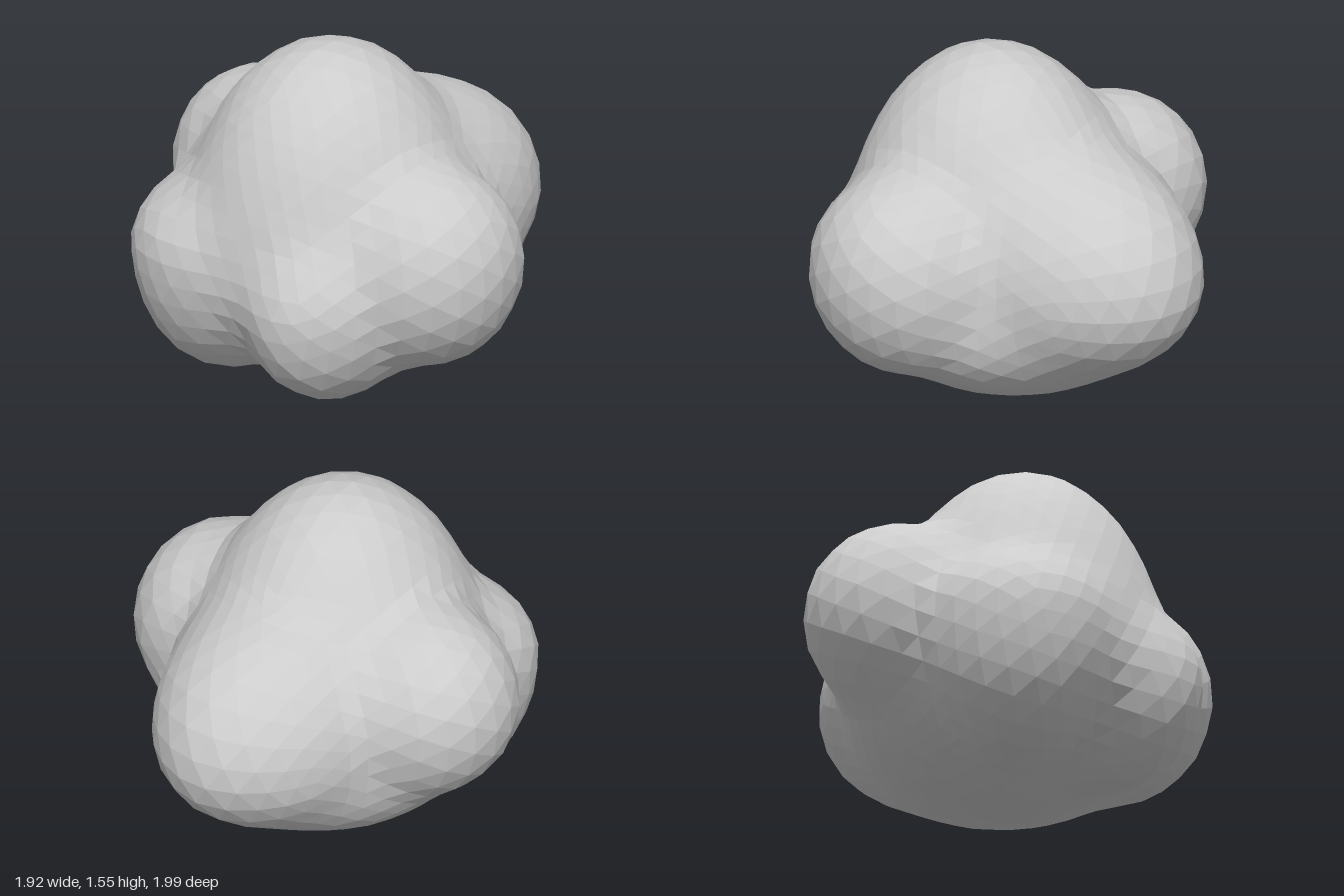
import * as THREE from 'three';

// Lobes of the bush: centre, horizontal radii, heights above and below the equator
const lobes = [
  { c: [-0.2, 0.57, 0], rx: 0.665, rz: 0.64, up: 0.98, down: 0.52 },      // crown
  { c: [0.16, 0.65, -0.01], rx: 0.805, rz: 0.55, up: 0.57, down: 0.51 },  // left
  { c: [-0.16, 0.66, 0.6], rx: 0.43, rz: 0.4, up: 0.44, down: 0.46 },     // front
  { c: [-0.03, 0.76, -0.57], rx: 0.41, rz: 0.43, up: 0.43, down: 0.44 },  // back
  { c: [-0.52, 0.6, -0.32], rx: 0.44, rz: 0.42, up: 0.34, down: 0.59 },   // back right
  { c: [-0.5, 0.48, 0.32], rx: 0.42, rz: 0.33, up: 0.36, down: 0.44 },    // front right
  { c: [0, 0.43, 0], rx: 0.58, rz: 0.68, up: 0.3, down: 0.42 },           // base
];
const BLEND = 0.05;

// Approximate distance to one lobe
function lobeDistance(p, { c, rx, rz, up, down }) {
  const x = (p.x - c[0]) / rx, z = (p.z - c[2]) / rz;
  const ry = p.y > c[1] ? up : down;
  const y = (p.y - c[1]) / ry;
  const k = Math.hypot(x, y, z);
  return (k * (k - 1)) / Math.max(Math.hypot(x / rx, y / ry, z / rz), 1e-6);
}

// Soft union, which fills the valleys between lobes
function distance(p) {
  return -BLEND * Math.log(lobes.reduce((sum, l) => sum + Math.exp(-lobeDistance(p, l) / BLEND), 0));
}

// Faceted ball whose corners are drawn in until they rest on the lobes
function createFoliage() {
  const core = new THREE.Vector3(-0.1, 0.62, 0);
  const geo = new THREE.IcosahedronGeometry(1, 8);
  const pos = geo.attributes.position;
  const dir = new THREE.Vector3(), p = new THREE.Vector3();
  for (let i = 0; i < pos.count; i++) {
    dir.fromBufferAttribute(pos, i).normalize();
    let t = 1.4;
    do {
      t -= 0.004;
      p.copy(core).addScaledVector(dir, t);
    } while (distance(p) > 0 && t > 0.1);
    pos.setXYZ(i, p.x, Math.max(p.y, 0), p.z);
  }
  geo.computeVertexNormals();
  const material = new THREE.MeshStandardMaterial({ color: 0xcccccc, flatShading: true });
  const mesh = new THREE.Mesh(geo, material);
  mesh.name = 'foliage';
  return mesh;
}

export function createModel() {
  const bush = new THREE.Group();
  bush.name = 'bush';
  bush.add(createFoliage());
  return bush;
}
